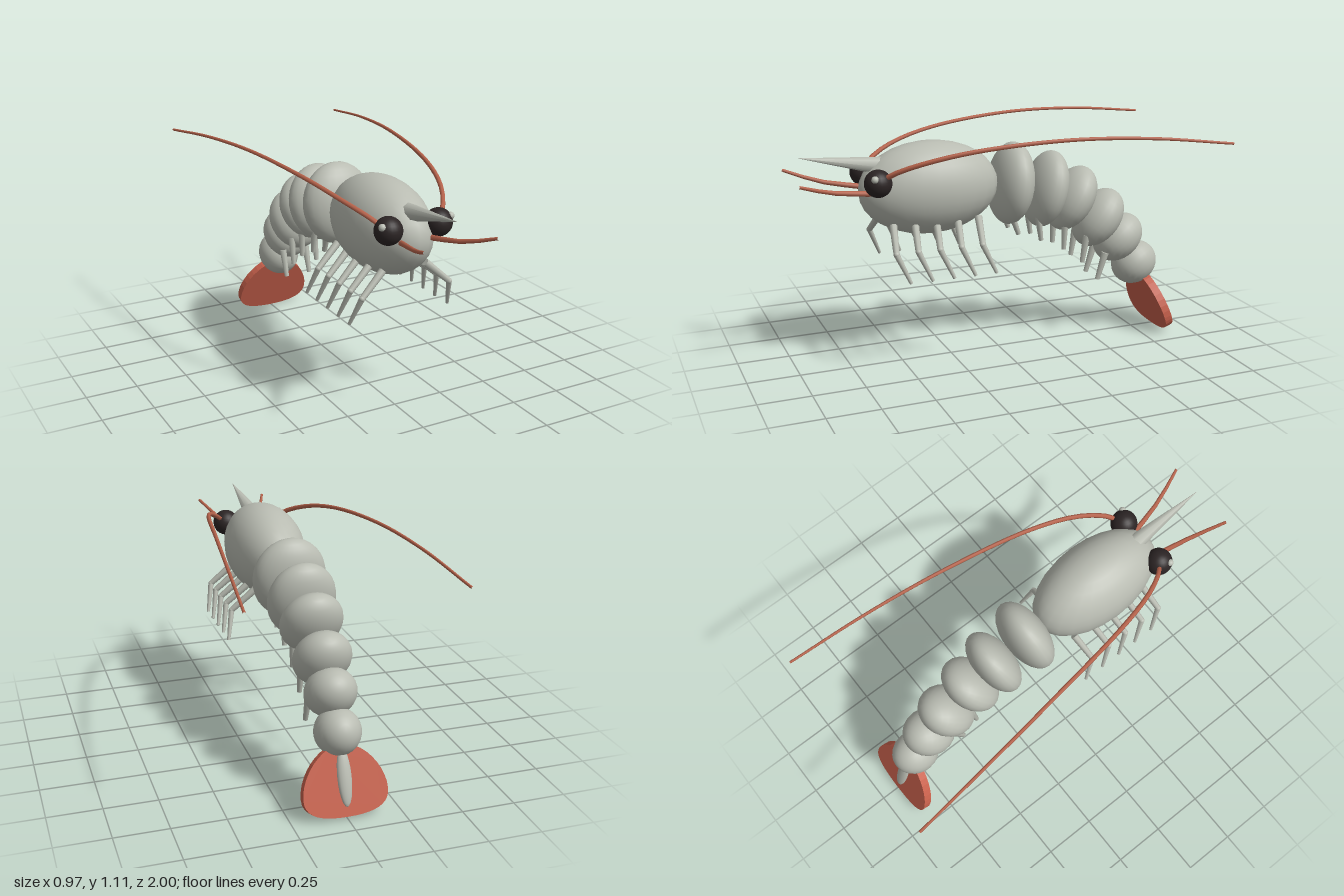
import * as THREE from 'three';

const mat = (name, color) => {
  const m = new THREE.MeshStandardMaterial({ color });
  m.name = name;
  return m;
};
const V = (x, y, z) => new THREE.Vector3(x, y, z);

export function createModel() {
  const shell = mat('shell grey', 0xb9bcb2);
  const coral = mat('coral tail', 0xc8614c);
  const feeler = mat('feeler red', 0xb8644c);
  const black = mat('eye black', 0x2b2424);
  const root = new THREE.Group();
  root.name = 'shrimp';

  const add = (name, geometry, material, parent = root) => {
    const mesh = new THREE.Mesh(geometry, material);
    mesh.name = name;
    parent.add(mesh);
    return mesh;
  };

  // Ellipsoid with given radii, tipped backwards by an angle in degrees
  const ellipsoid = (name, p, r, tilt, material) => {
    const m = add(name, new THREE.SphereGeometry(1, 24, 16), material);
    m.position.copy(p);
    m.scale.set(...r);
    m.rotation.x = -THREE.MathUtils.degToRad(tilt);
    return m;
  };

  // Tapered rod from a to b
  const rod = (name, a, b, ra, rb, material, sides = 8) => {
    const dir = b.clone().sub(a);
    const m = add(name, new THREE.CylinderGeometry(rb, ra, dir.length(), sides), material);
    m.position.copy(a).add(b).multiplyScalar(0.5);
    m.quaternion.setFromUnitVectors(V(0, 1, 0), dir.normalize());
    return m;
  };

  // Tube along a curve whose radius shrinks from r0 to r1
  const taperedTube = (name, curve, steps, r0, r1, material) => {
    const sides = 6;
    const g = new THREE.TubeGeometry(curve, steps, 1, sides);
    const pos = g.attributes.position;
    const c = V(), v = V();
    for (let i = 0; i < pos.count; i++) {
      const t = Math.floor(i / (sides + 1)) / steps;
      curve.getPointAt(t, c);
      v.fromBufferAttribute(pos, i).sub(c).multiplyScalar(r0 + (r1 - r0) * t).add(c);
      pos.setXYZ(i, v.x, v.y, v.z);
    }
    return add(name, g, material);
  };

  // Head and thorax
  ellipsoid('carapace', V(0, 0.86, 0.35), [0.19, 0.22, 0.34], 0, shell);
  rod('rostrum', V(0, 0.98, 0.58), V(0, 1.045, 0.955), 0.042, 0.001, shell);

  // Abdomen: y, z, half width, half height, half depth, tilt
  [
    [0.84, -0.065, 0.18, 0.2, 0.1, 8],
    [0.795, -0.25, 0.165, 0.19, 0.094, 15],
    [0.735, -0.39, 0.148, 0.17, 0.1, 31],
    [0.62, -0.54, 0.135, 0.16, 0.106, 38],
    [0.505, -0.655, 0.118, 0.138, 0.108, 51],
    [0.36, -0.753, 0.105, 0.12, 0.108, 60],
  ].forEach(([y, z, rx, ry, rz, tilt], i) =>
    ellipsoid(`abdomenSegment${i + 1}`, V(0, y, z), [rx, ry, rz], tilt, shell));

  // Tail fan, hanging down and back
  const tail = new THREE.Group();
  tail.name = 'tail';
  tail.position.set(0, 0.315, -0.782);
  tail.rotation.x = THREE.MathUtils.degToRad(20);
  root.add(tail);
  const fan = new THREE.Shape();
  fan.moveTo(0, 0);
  fan.bezierCurveTo(0.1, 0, 0.195, -0.12, 0.195, -0.22);
  fan.bezierCurveTo(0.195, -0.295, 0.12, -0.318, 0, -0.318);
  fan.bezierCurveTo(-0.12, -0.318, -0.195, -0.295, -0.195, -0.22);
  fan.bezierCurveTo(-0.195, -0.12, -0.1, 0, 0, 0);
  const fanGeo = new THREE.ExtrudeGeometry(fan, { depth: 0.04, bevelEnabled: false, curveSegments: 10 });
  fanGeo.translate(0, 0, -0.02);
  add('tailFan', fanGeo, coral, tail);
  const telson = add('telson', new THREE.SphereGeometry(1, 16, 12), shell, tail);
  telson.position.set(0, -0.145, -0.02);
  telson.scale.set(0.033, 0.13, 0.02);

  for (const s of [1, -1]) {
    const side = s > 0 ? 'left' : 'right';

    // Eyes with a small glint
    ellipsoid(`${side}Eye`, V(s * 0.126, 0.928, 0.63), [0.064, 0.064, 0.064], 0, black);
    ellipsoid(`${side}EyeGlint`, V(s * 0.171, 0.957, 0.656), [0.017, 0.017, 0.017], 0, shell);

    // Long swept antenna and short forward antennule
    const antenna = new THREE.CatmullRomCurve3([
      V(s * 0.12, 0.92, 0.64), V(s * 0.18, 0.975, 0.58), V(s * 0.25, 1.03, 0.45),
      V(s * 0.315, 1.08, 0.22), V(s * 0.385, 1.112, -0.2), V(s * 0.437, 1.098, -0.6),
      V(s * 0.478, 1.052, -0.998),
    ]);
    taperedTube(`${side}Antenna`, antenna, 28, 0.012, 0.006, feeler);
    const antennule = new THREE.CatmullRomCurve3([
      V(s * 0.07, 0.868, 0.63), V(s * 0.12, 0.903, 0.84), V(s * 0.178, 0.957, 0.998),
    ]);
    taperedTube(`${side}Antennule`, antennule, 4, 0.014, 0.007, feeler);

    // Five jointed walking legs
    for (let i = 0; i < 5; i++) {
      const z = 0.56 - i * 0.104;
      const hip = V(s * 0.11, 0.72, z);
      const knee = V(s * 0.225, 0.617, z + 0.022);
      rod(`${side}UpperLeg${i + 1}`, hip, knee, 0.018, 0.014, shell);
      rod(`${side}LowerLeg${i + 1}`, knee, V(s * 0.257, 0.483, z - 0.035), 0.014, 0.008, shell);
      ellipsoid(`${side}Knee${i + 1}`, knee, [0.014, 0.014, 0.014], 0, shell);
    }

    // Five swimmerets: tip y, tip z, forward lean
    [
      [0.6, -0.08, -20], [0.555, -0.2, -8], [0.495, -0.322, 2], [0.415, -0.425, 9], [0.315, -0.512, 17],
    ].forEach(([y, z, lean], i) => {
      const a = THREE.MathUtils.degToRad(lean);
      const top = V(s * 0.066, y + 0.14 * Math.cos(a), z - 0.14 * Math.sin(a));
      rod(`${side}Swimmeret${i + 1}`, top, V(s * 0.066, y, z), 0.019, 0.012, shell);
    });
  }
  return root;
}
